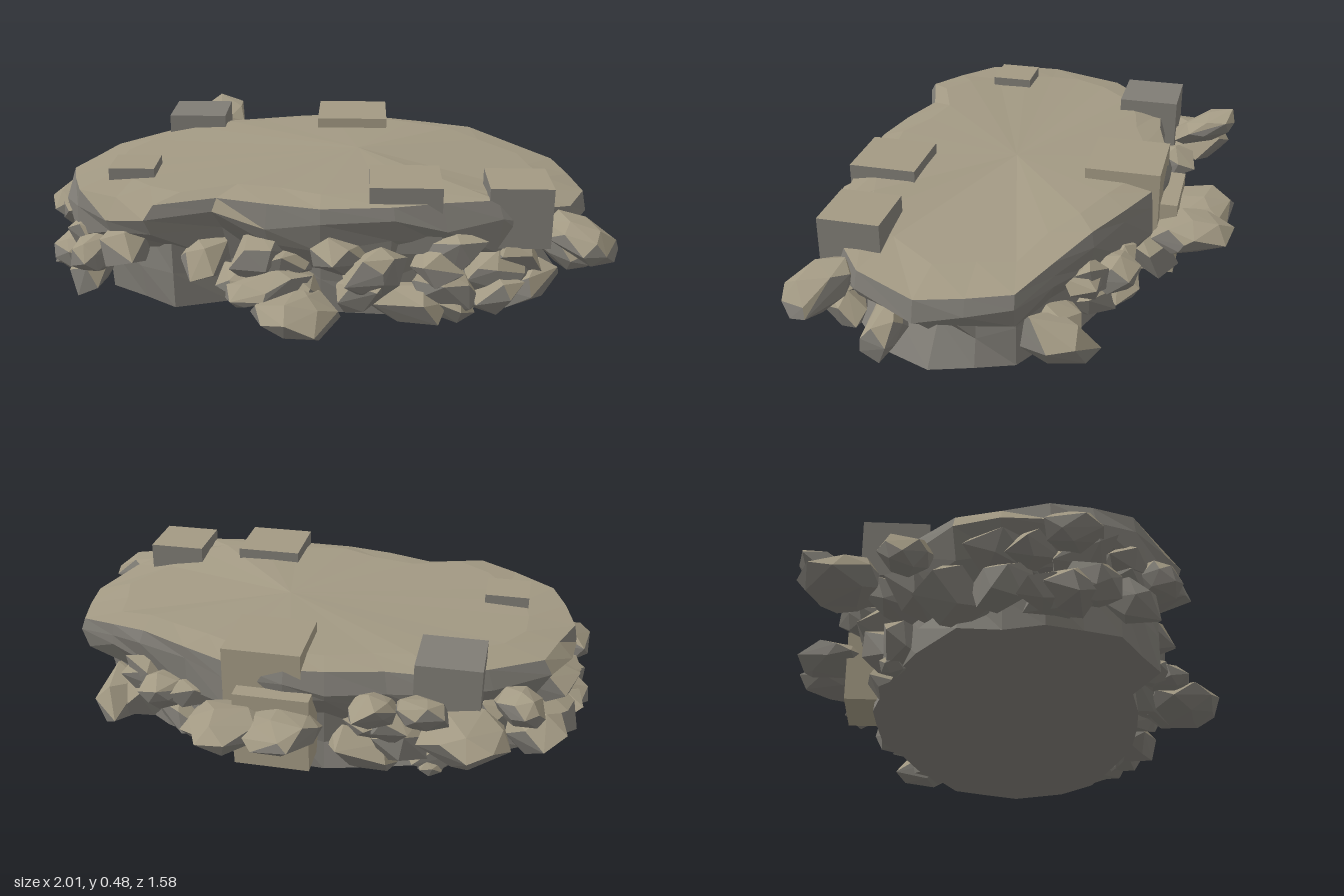
import * as THREE from 'three';
import { ConvexGeometry } from 'three/addons/geometries/ConvexGeometry.js';

const tan = new THREE.MeshStandardMaterial({ color: 0xa29983 });
tan.name = 'sandyStone';
const grey = new THREE.MeshStandardMaterial({ color: 0x7f7c75 });
grey.name = 'greyStone';

let seed = 7;
const rand = () => {
  seed = (seed * 16807) % 2147483647;
  return seed / 2147483647;
};
const jitter = (a) => (rand() * 2 - 1) * a;

// plan outline of the slab, [x, z], running from the back round by +x
const OUTLINE = [
  [-0.5, -0.46], [-0.32, -0.48], [-0.12, -0.53], [0.02, -0.55], [0.24, -0.52], [0.4, -0.45], [0.58, -0.37],
  [0.74, -0.28], [0.9, -0.19], [0.93, -0.04], [0.965, 0.12], [0.88, 0.34], [0.74, 0.47], [0.6, 0.5], [0.42, 0.54],
  [0.25, 0.57], [0, 0.58], [-0.18, 0.53], [-0.36, 0.48], [-0.57, 0.55], [-0.72, 0.47], [-0.86, 0.36],
  [-0.91, 0.22], [-0.95, 0.08], [-0.91, -0.07], [-0.86, -0.22], [-0.66, -0.36],
];

// flat facets: sandy where they face upward, grey on the sides
function facet(geometry, limit = 0.35) {
  const g = geometry.index ? geometry.toNonIndexed() : geometry;
  g.computeVertexNormals();
  g.clearGroups();
  const n = g.attributes.normal;
  for (let i = 0; i < n.count; i += 3) g.addGroup(i, 3, n.getY(i) > limit ? 0 : 1);
  return g;
}

function addMesh(parent, name, geometry, material) {
  const mesh = new THREE.Mesh(geometry, material);
  mesh.name = name;
  parent.add(mesh);
  return mesh;
}

// closed body through rings listed from top to bottom
function loft(rings, top, bottom) {
  const pos = [];
  const tri = (...pts) => pts.forEach((p) => pos.push(...p));
  const n = rings[0].length;
  const last = rings[rings.length - 1];
  for (let i = 0; i < n; i++) {
    const j = (i + 1) % n;
    tri(top, rings[0][j], rings[0][i]);
    tri(bottom, last[i], last[j]);
    for (let r = 0; r < rings.length - 1; r++) {
      const a = rings[r], b = rings[r + 1];
      tri(a[i], a[j], b[i]);
      tri(a[j], b[j], b[i]);
    }
  }
  const g = new THREE.BufferGeometry();
  g.setAttribute('position', new THREE.Float32BufferAttribute(pos, 3));
  return g;
}

function ring(scale, y, js, jy, droop = 0) {
  return OUTLINE.map(([x, z]) => {
    const s = scale + jitter(js);
    const drop = droop * (x > 0.6 ? (x - 0.6) * 1.5 : x < -0.4 ? (-x - 0.4) * 0.4 : 0);
    return [x * s, y + jitter(jy) - drop, z * s];
  });
}

// irregular boulder: hull of jittered points on an ellipsoid, turned by yaw and tilt
function rock(parent, name, [x, y, z], [rx, ry, rz], { yaw = 0, tilt = 0, floor = 0.022, count = 18, material } = {}) {
  const turn = new THREE.Euler(0, yaw, tilt, 'YXZ');
  const pts = [];
  for (let i = 0; i < count; i++) {
    const h = 1 - (2 * (i + 0.5)) / count;
    const a = i * 2.4 + jitter(0.4);
    const r = Math.sqrt(1 - h * h);
    const p = new THREE.Vector3(rx * r * Math.cos(a), ry * h, rz * r * Math.sin(a));
    p.multiplyScalar(1 + jitter(0.12)).applyEuler(turn).add(new THREE.Vector3(x, y, z));
    p.y = Math.max(floor, p.y);
    pts.push(p);
  }
  return addMesh(parent, name, facet(new ConvexGeometry(pts)), material || [tan, grey]);
}

export function createModel() {
  seed = 7;
  const model = new THREE.Group();
  model.name = 'rockPlatform';

  // slab with a flat top, a ragged overhanging lip and a tapered underside
  const slab = loft(
    [ring(0.8, 0.442, 0.03, 0.004, 0.12), ring(0.965, 0.425, 0.012, 0.008, 0.16),
      ring(0.995, 0.36, 0.02, 0.025, 0.16), ring(0.96, 0.285, 0.035, 0.04, 0.05), ring(0.87, 0.2, 0.05, 0.045)],
    [0.12, 0.452, 0], [0, 0.17, 0]);
  addMesh(model, 'slab', facet(slab, 0.45), [tan, grey]);

  // core under the slab, flat at the bottom
  const core = loft(
    [ring(0.86, 0.28, 0.03, 0.02), ring(0.84, 0.15, 0.05, 0.04), ring(0.88, 0.022, 0.03, 0)],
    [0, 0.28, 0], [0, 0.022, 0]);
  addMesh(model, 'core', facet(core, 0.6), [tan, grey]);

  // loose rocks around the rim in two tiers, leaving the +x end and the back block open
  const rim = new THREE.Group();
  rim.name = 'rimRocks';
  model.add(rim);
  const tiers = [
    { name: 'lowerRock', y: 0.1, reach: 0.95, backReach: 0.85, size: 0.11 },
    { name: 'upperRock', y: 0.23, reach: 0.92, backReach: 0.94, size: 0.105 },
  ];
  for (const { name, y, reach, backReach, size } of tiers) {
    OUTLINE.forEach(([x, z], i) => {
      const [nx, nz] = OUTLINE[(i + 1) % OUTLINE.length];
      const f = rand();
      const s = z < -0.3 ? backReach : reach;
      const px = (x + (nx - x) * f) * s, pz = (z + (nz - z) * f) * s;
      const openEnd = px > 0.72;
      const openFront = y < 0.2 && pz > 0.3 && px > -0.75 && px < -0.38;
      const openBack = pz < -0.3 && px > -0.12 && px < 0.2;
      if (openEnd || openFront || openBack) return;
      const r = size * (0.85 + rand() * 0.4);
      rock(rim, name, [px, y + jitter(0.03), pz], [r * 1.2, r * 0.65, r * 0.75],
        { yaw: -Math.atan2(pz, px) + jitter(1.2), tilt: jitter(0.7), count: 12 });
    });
  }

  // larger boulders standing out from the rim: position, radii, yaw, tilt
  const boulders = [
    [[-0.59, 0.27, -0.56], [0.155, 0.075, 0.145], 0.3, 0],
    [[-0.46, 0.38, -0.625], [0.13, 0.055, 0.1], 1.5, 0.45],
    [[0.0, 0.27, -0.64], [0.14, 0.055, 0.135], 1.2, 0],
    [[0.18, 0.26, -0.635], [0.135, 0.065, 0.15], 0, 0],
    [[-0.28, 0.3, -0.51], [0.11, 0.06, 0.08], 1, 0.2],
    [[0.47, 0.24, -0.42], [0.1, 0.07, 0.09], 0.8, 0],
    [[0.87, 0.29, 0.46], [0.14, 0.06, 0.1], -0.5, -0.35],
    [[0.86, 0.17, 0.24], [0.13, 0.07, 0.07], -0.2, -0.6],
    [[-0.08, 0.085, 0.64], [0.15, 0.075, 0.15], 0.2, 0],
    [[-0.18, 0.14, 0.57], [0.17, 0.055, 0.09], 0.1, 0.2],
    [[0.18, 0.2, 0.56], [0.12, 0.08, 0.09], 0.4, 0.2],
    [[0.42, 0.12, 0.52], [0.13, 0.09, 0.08], 0.2, -0.4],
    [[0.6, 0.15, 0.46], [0.13, 0.1, 0.08], 0.1, -0.5],
    [[-0.92, 0.29, 0.15], [0.08, 0.075, 0.1], 0.2, 0.2],
    [[-0.9, 0.12, 0.2], [0.09, 0.08, 0.1], 0.2, 0.3],
    [[-0.76, 0.28, -0.36], [0.09, 0.07, 0.09], 0.6, 0.2],
    [[-0.78, 0.2, 0.42], [0.1, 0.07, 0.07], 0.8, 0.2],
  ];
  boulders.forEach(([p, r, yaw, tilt]) => rock(model, 'boulder', p, r, { yaw, tilt, count: 20 }));
  rock(model, 'footPebble', [-0.47, 0.04, -0.4], [0.05, 0.04, 0.05], { floor: 0 });

  // square blocks sunk into the slab: min x, min z, top y, size x, z and y
  const blocks = [
    ['backRightBlock', -0.63, -0.51, 0.483, 0.22, 0.22, 0.2, grey],
    ['backBlock', -0.04, -0.53, 0.483, 0.27, 0.26, 0.27, tan],
    ['lowBackBlock', -0.08, -0.59, 0.35, 0.26, 0.26, 0.27, tan],
    ['smallBlock', -0.75, 0.125, 0.455, 0.16, 0.155, 0.16, [tan, grey]],
    ['frontBlock', 0.16, 0.29, 0.483, 0.24, 0.235, 0.23, [tan, grey]],
    ['frontLeftBlock', 0.555, 0.28, 0.472, 0.21, 0.21, 0.21, [tan, grey]],
  ];
  for (const [name, x, z, top, w, d, h, material] of blocks) {
    const box = facet(new THREE.BoxGeometry(w, h, d));
    addMesh(model, name, box, material).position.set(x + w / 2, top - h / 2, z + d / 2);
  }
  return model;
}
